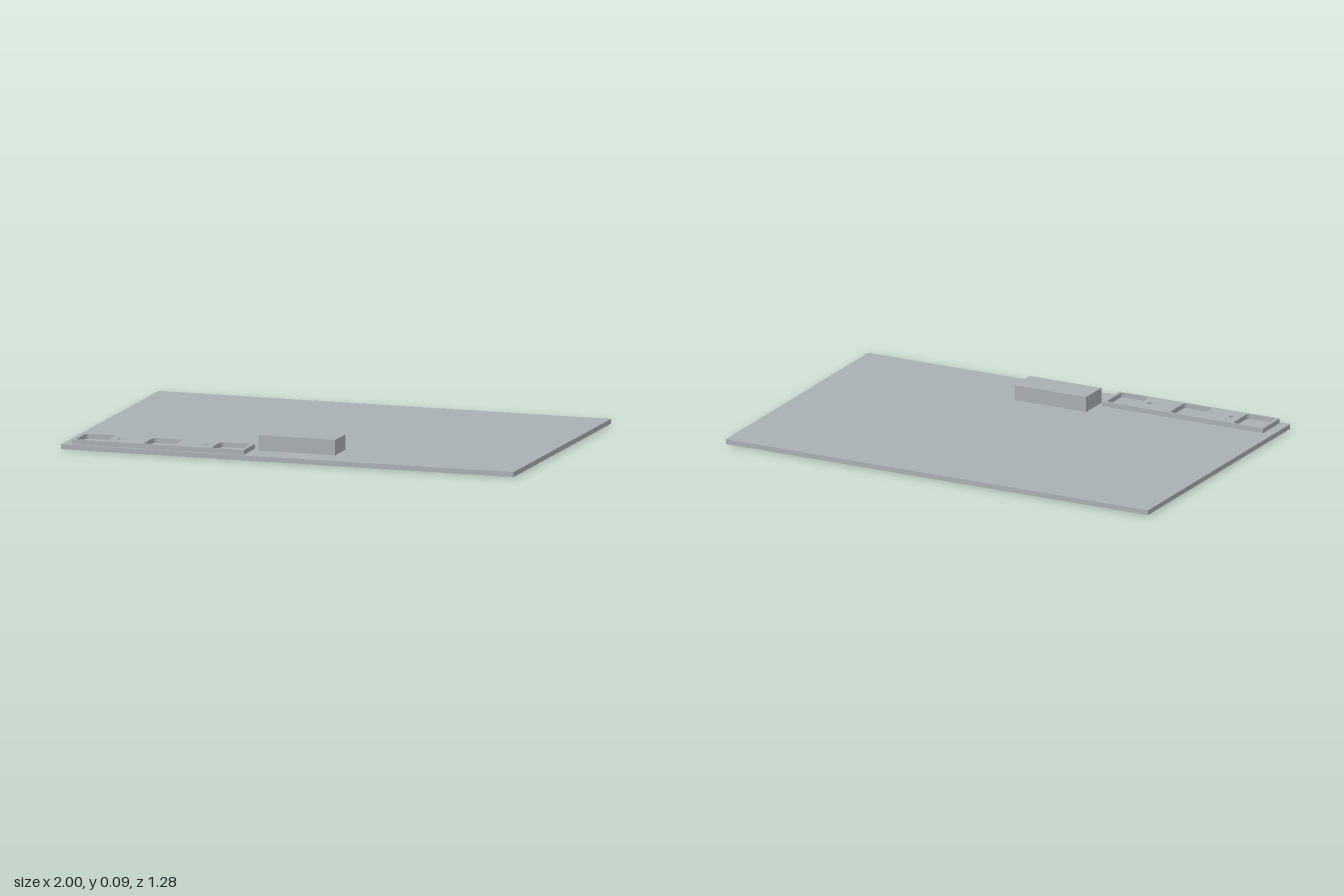
import * as THREE from 'three';

const BOARD_TOP = 0.021;

// Box given by its min and max along each axis
function slab(name, material, [x0, x1], [y0, y1], [z0, z1]) {
  const mesh = new THREE.Mesh(new THREE.BoxGeometry(x1 - x0, y1 - y0, z1 - z0), material);
  mesh.position.set((x0 + x1) / 2, (y0 + y1) / 2, (z0 + z1) / 2);
  mesh.name = name;
  return mesh;
}

// Square opening with rounded corners
function roundedOpening(cx, cy, half, r) {
  const p = new THREE.Path();
  const i = half - r;
  p.absarc(cx + i, cy + i, r, 0, Math.PI / 2);
  p.absarc(cx - i, cy + i, r, Math.PI / 2, Math.PI);
  p.absarc(cx - i, cy - i, r, Math.PI, Math.PI * 1.5);
  p.absarc(cx + i, cy - i, r, Math.PI * 1.5, Math.PI * 2);
  p.closePath();
  return p;
}

export function createModel() {
  const model = new THREE.Group();
  model.name = 'panelWithFittings';
  const grey = new THREE.MeshStandardMaterial({ color: 0xa9b0b4 });
  grey.name = 'plain grey';

  // Base board and raised block
  model.add(slab('board', grey, [-1, 1], [0, BOARD_TOP], [-0.64, 0.64]));
  model.add(slab('block', grey, [-0.17, 0.17], [BOARD_TOP, 0.087], [0.38, 0.516]));

  // Strip with three square openings and two screw holes, drawn around its centre
  const w = 0.38, d = 0.074;
  const outline = new THREE.Shape([
    new THREE.Vector2(-w, -d), new THREE.Vector2(w, -d),
    new THREE.Vector2(w, d), new THREE.Vector2(-w, d),
  ]);
  for (const x of [-0.299, 0, 0.299]) outline.holes.push(roundedOpening(x, 0, 0.067, 0.016));
  for (const x of [-0.192, 0.192]) {
    outline.holes.push(new THREE.Path().absarc(x, 0, 0.012, 0, Math.PI * 2));
  }
  const geometry = new THREE.ExtrudeGeometry(outline, { depth: 0.021, bevelEnabled: false, curveSegments: 8 });
  geometry.rotateX(-Math.PI / 2);
  const strip = new THREE.Mesh(geometry, grey);
  strip.name = 'mountingStrip';
  strip.position.set(-0.576, BOARD_TOP, 0.554);
  model.add(strip);

  return model;
}
